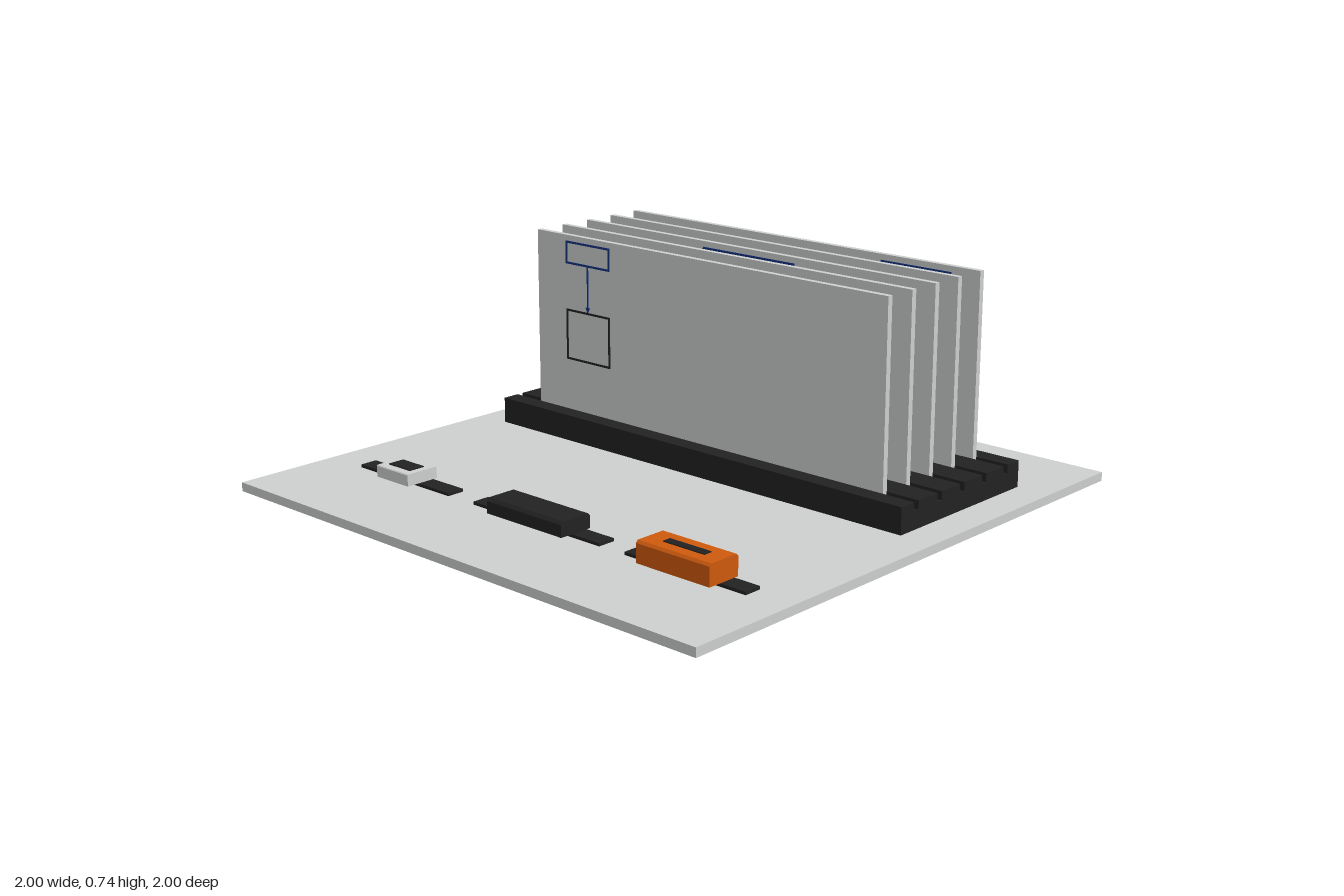
import * as THREE from 'three';

const mat = (name, color) => Object.assign(new THREE.MeshStandardMaterial({ color }), { name });

export function createModel() {
  const model = new THREE.Group();
  model.name = 'displayRack';
  const grey = mat('lightGrey', 0xced0cf);
  const black = mat('black', 0x222222);
  const orange = mat('orange', 0xcf5a0e);
  const blue = mat('blue', 0x12327e);

  // Box given by its limits on each axis
  function box(name, material, x0, x1, y0, y1, z0, z1, parent = model) {
    const mesh = new THREE.Mesh(new THREE.BoxGeometry(x1 - x0, y1 - y0, z1 - z0), material);
    mesh.position.set((x0 + x1) / 2, (y0 + y1) / 2, (z0 + z1) / 2);
    mesh.name = name;
    parent.add(mesh);
    return mesh;
  }

  // Housing with cut upper edges, run along x
  function housing(name, material, x0, x1, y0, y1, z0, z1, cut, parent) {
    const s = new THREE.Shape([
      [z0, y0], [z1, y0], [z1, y1 - cut], [z1 - cut, y1], [z0 + cut, y1], [z0, y1 - cut],
    ].map(([z, y]) => new THREE.Vector2(-z, y)));
    const geo = new THREE.ExtrudeGeometry(s, { depth: x1 - x0, bevelEnabled: false });
    geo.rotateY(Math.PI / 2);
    geo.translate(x0, 0, 0);
    const mesh = new THREE.Mesh(geo, material);
    mesh.name = name;
    parent.add(mesh);
  }

  // Thin rectangular frame drawn on a panel face
  function frame(name, material, x0, x1, y0, y1, z, parent, w = 0.007) {
    const s = new THREE.Shape([[x0, y0], [x1, y0], [x1, y1], [x0, y1]].map(p => new THREE.Vector2(...p)));
    s.holes.push(new THREE.Path([[x0 + w, y0 + w], [x0 + w, y1 - w], [x1 - w, y1 - w], [x1 - w, y0 + w]]
      .map(p => new THREE.Vector2(...p))));
    const mesh = new THREE.Mesh(new THREE.ExtrudeGeometry(s, { depth: 0.003, bevelEnabled: false }), material);
    mesh.position.z = z;
    mesh.name = name;
    parent.add(mesh);
  }

  // Ground plate
  box('basePlate', grey, -1, 1, 0, 0.03, -1, 1);

  // Slotted rack: slab with rails between the grooves
  const rack = new THREE.Group();
  rack.name = 'rack';
  model.add(rack);
  box('rackSlab', black, -0.88, 0.88, 0.03, 0.09, -0.68, -0.05, rack);
  const slots = [-0.125, -0.245, -0.365, -0.485, -0.605];
  const half = 0.012;
  const edges = [-0.05, ...slots.flatMap(z => [z + half, z - half]), -0.68];
  for (let i = 0; i < edges.length; i += 2)
    box('rackRail', black, -0.88, 0.88, 0.09, 0.12, edges[i + 1], edges[i], rack);

  // Upright panels, each with its line drawing
  const drawings = [
    { label: [-0.62, -0.41], frames: [[-0.62, -0.41, 0.3, 0.48]] },
    { frames: [[-0.4, -0.2, 0.3, 0.46]] },
    { label: [-0.2, 0.2], frames: [[-0.2, 0.2, 0.3, 0.46]] },
    { frames: [[0.16, 0.2, 0.3, 0.46], [0.31, 0.35, 0.3, 0.46]] },
    { label: [0.37, 0.65], frames: [[0.37, 0.65, 0.4, 0.46]] },
  ];
  slots.forEach((z, i) => {
    const panel = new THREE.Group();
    panel.name = 'panel' + (i + 1);
    model.add(panel);
    box('panelSheet', grey, -0.76, 0.76, 0.09, 0.74, z - 0.01, z + 0.01, panel);
    const face = z + 0.01;
    const { label, frames } = drawings[i];
    for (const f of frames) frame('partOutline', black, ...f, face, panel);
    if (label) {
      const [x0, x1] = label, xm = (x0 + x1) / 2, tip = frames[0][3];
      frame('labelOutline', blue, x0, x1, 0.64, 0.72, face, panel);
      box('leaderLine', blue, xm - 0.0025, xm + 0.0025, tip, 0.64, face, face + 0.003, panel);
      const head = new THREE.Shape([[xm, tip], [xm + 0.009, tip + 0.018], [xm - 0.009, tip + 0.018]]
        .map(p => new THREE.Vector2(...p)));
      const arrow = new THREE.Mesh(new THREE.ExtrudeGeometry(head, { depth: 0.004, bevelEnabled: false }), blue);
      arrow.position.z = face;
      arrow.name = 'leaderArrow';
      panel.add(arrow);
    }
  });

  // Three small devices on flat strips
  const devices = [
    { name: 'greyDevice', m: grey, strip: [-0.84, -0.4], x: [-0.7, -0.545], y: 0.08, cut: 0.003, win: [-0.675, -0.57, 0.59, 0.65] },
    { name: 'blackDevice', m: black, strip: [-0.28, 0.28], x: [-0.165, 0.165], y: 0.09, cut: 0.01 },
    { name: 'orangeDevice', m: orange, strip: [0.385, 0.855], x: [0.475, 0.76], y: 0.11, cut: 0.008, win: [0.54, 0.7, 0.605, 0.635] },
  ];
  for (const d of devices) {
    const g = new THREE.Group();
    g.name = d.name;
    model.add(g);
    box('strip', black, ...d.strip, 0.03, 0.04, 0.573, 0.635, g);
    housing('housing', d.m, ...d.x, 0.04, d.y, 0.558, 0.68, d.cut, g);
    if (d.win) box('window', black, d.win[0], d.win[1], d.y - 0.002, d.y + 0.003, d.win[2], d.win[3], g);
  }
  return model;
}
